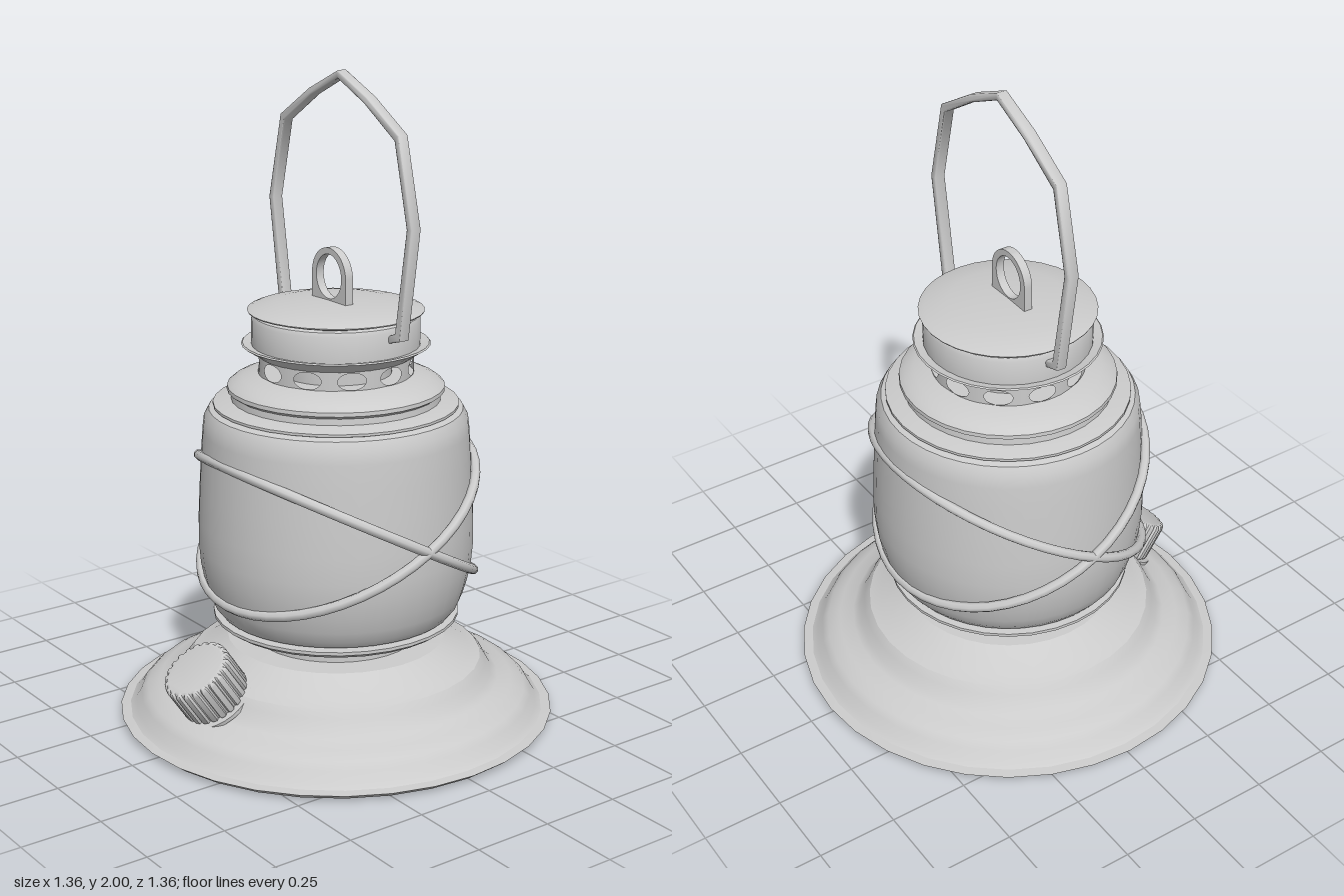
import * as THREE from 'three';
import { toCreasedNormals, mergeGeometries } from 'three/addons/utils/BufferGeometryUtils.js';

const material = new THREE.MeshStandardMaterial({ color: 0xcccccc, side: THREE.DoubleSide });
const v2 = ([x, y]) => new THREE.Vector2(x, y);

function add(parent, name, geometry) {
  const mesh = new THREE.Mesh(geometry, material);
  mesh.name = name;
  parent.add(mesh);
  return mesh;
}

// Turned part from [radius, height] pairs, listed bottom to top
const turned = (profile, segments = 32) =>
  toCreasedNormals(new THREE.LatheGeometry(profile.map(v2), segments), 0.5);

// Perforated band: flat panels with an oval hole, bent round the axis
function ventBand(radius, y0, y1, count) {
  const width = (Math.PI * 2) / count, steps = 6, panels = [];
  const mid = (y0 + y1) / 2;
  for (let i = 0; i < count; i++) {
    const points = [];
    for (let k = 0; k <= steps; k++) points.push([(k / steps - 0.5) * width, y0]);
    for (let k = steps; k >= 0; k--) points.push([(k / steps - 0.5) * width, y1]);
    const panel = new THREE.Shape(points.map(v2));
    panel.holes.push(new THREE.Path().absellipse(0, mid, 0.185, 0.026, 0, Math.PI * 2, true));
    const geometry = new THREE.ShapeGeometry(panel, 10);
    const p = geometry.attributes.position, n = geometry.attributes.normal;
    for (let k = 0; k < p.count; k++) {
      const a = p.getX(k) + i * width;
      p.setXYZ(k, Math.sin(a) * radius, p.getY(k), Math.cos(a) * radius);
      n.setXYZ(k, Math.sin(a), 0, Math.cos(a));
    }
    panels.push(geometry);
  }
  return mergeGeometries(panels);
}

// Ribbed outline for the filler cap
function ribbedShape(outer, inner, ribs) {
  const points = [];
  for (let i = 0; i < ribs; i++) {
    [[0, inner], [0.2, inner], [0.32, outer], [0.88, outer]].forEach(([t, r]) => {
      const a = ((i + t) / ribs) * Math.PI * 2;
      points.push([Math.cos(a) * r, Math.sin(a) * r]);
    });
  }
  return new THREE.Shape(points.map(v2));
}

export function createModel() {
  const model = new THREE.Group();
  model.name = 'lantern';

  // Stepped base with flared lip, slightly recessed underside and neck
  add(model, 'base', turned([
    [0, 0.016], [0.61, 0.016], [0.635, 0.002], [0.655, 0], [0.68, 0.019], [0.65, 0.022], [0.632, 0.036],
    [0.615, 0.065], [0.595, 0.085], [0.555, 0.102], [0.51, 0.115], [0.488, 0.133], [0.472, 0.162],
    [0.454, 0.185], [0.418, 0.198], [0.34, 0.25], [0.26, 0.251], [0.26, 0.325],
  ]));

  // Flange carrying the globe
  add(model, 'globeSeat', turned([
    [0.26, 0.318], [0.365, 0.312], [0.383, 0.325], [0.383, 0.335], [0.345, 0.338],
  ]));

  add(model, 'globe', turned([
    [0.345, 0.337], [0.366, 0.343], [0.383, 0.365], [0.397, 0.4], [0.41, 0.445], [0.421, 0.5],
    [0.426, 0.56], [0.425, 0.64], [0.42, 0.74], [0.414, 0.84], [0.408, 0.92], [0.403, 0.96],
    [0.388, 0.987], [0.36, 0.995],
  ], 40));

  // Collar and domed shoulder above the globe
  add(model, 'shoulder', turned([
    [0.36, 0.992], [0.375, 0.997], [0.375, 1.005], [0.345, 1.012], [0.32, 1.016], [0.318, 1.035],
    [0.332, 1.045], [0.331, 1.057], [0.315, 1.07], [0.285, 1.083], [0.255, 1.091], [0.235, 1.096],
  ]));

  add(model, 'ventBand', ventBand(0.236, 1.092, 1.154, 11));

  // Inner flue behind the vent holes
  add(model, 'flue', turned([[0.236, 1.094], [0.17, 1.094], [0.17, 1.154], [0.236, 1.154]]));

  // Flared collar and chimney
  add(model, 'chimney', turned([
    [0.236, 1.152], [0.252, 1.164], [0.287, 1.186], [0.283, 1.19], [0.256, 1.184],
    [0.256, 1.262], [0.25, 1.274], [0.235, 1.278],
  ]));

  // Thin shallow lid
  add(model, 'lid', turned([
    [0.235, 1.277], [0.266, 1.286], [0.268, 1.29], [0.25, 1.297], [0.18, 1.31], [0.09, 1.317], [0, 1.319],
  ]));

  // Lifting lug on the lid
  const lug = new THREE.Shape();
  lug.moveTo(-0.085, 1.3).lineTo(0.085, 1.3).lineTo(0.085, 1.393);
  lug.absarc(0, 1.393, 0.085, 0, Math.PI, false);
  lug.closePath();
  lug.holes.push(new THREE.Path().absellipse(0, 1.391, 0.063, 0.068, 0, Math.PI * 2, true));
  add(model, 'lug', toCreasedNormals(
    new THREE.ExtrudeGeometry(lug, { depth: 0.027, bevelEnabled: false, curveSegments: 14 }), 0.6));

  // Angular bail handle, mirrored from one half, with softened edges
  const outer = [[0, 1.995], [0.14, 1.932], [0.288, 1.84], [0.352, 1.58], [0.302, 1.25], [0.255, 1.236]];
  const inner = [[0, 1.983], [0.134, 1.92], [0.278, 1.828], [0.338, 1.58], [0.287, 1.262], [0.25, 1.247]];
  const half = [...outer, ...inner.reverse()];
  const mirrored = half.slice(1, -1).reverse().map(([x, y]) => [-x, y]);
  const bail = add(model, 'bailHandle', toCreasedNormals(new THREE.ExtrudeGeometry(
    new THREE.Shape([...half, ...mirrored].map(v2)),
    { depth: 0.026, bevelEnabled: true, bevelSize: 0.005, bevelThickness: 0.005, bevelSegments: 2 }), 0.9));
  bail.position.z = -0.034;

  // Two crossed guard wires
  [-1, 1].forEach((side) => {
    const wire = add(model, 'guardWire', new THREE.TorusGeometry(0.46, 0.0155, 8, 48));
    wire.rotation.x = Math.PI / 2 + side * 0.497;
    wire.position.y = 0.644;
  });

  // Ribbed filler cap, tipped forward
  const filler = new THREE.Group();
  filler.name = 'fillerCap';
  filler.position.set(0.022, 0.153, 0.463);
  filler.rotation.x = 0.6;
  model.add(filler);
  const knob = add(filler, 'knob', toCreasedNormals(new THREE.ExtrudeGeometry(
    ribbedShape(0.109, 0.101, 22),
    { depth: 0.106, bevelEnabled: true, bevelSize: 0.01, bevelThickness: 0.014, bevelOffset: -0.01, bevelSegments: 3 }), 0.7));
  knob.rotation.x = -Math.PI / 2;
  knob.position.y = 0.014;
  add(filler, 'fillerFlange', turned([
    [0, -0.05], [0.105, -0.05], [0.105, -0.012], [0.121, -0.01], [0.121, 0.002], [0, 0.004],
  ], 28));

  return model;
}
